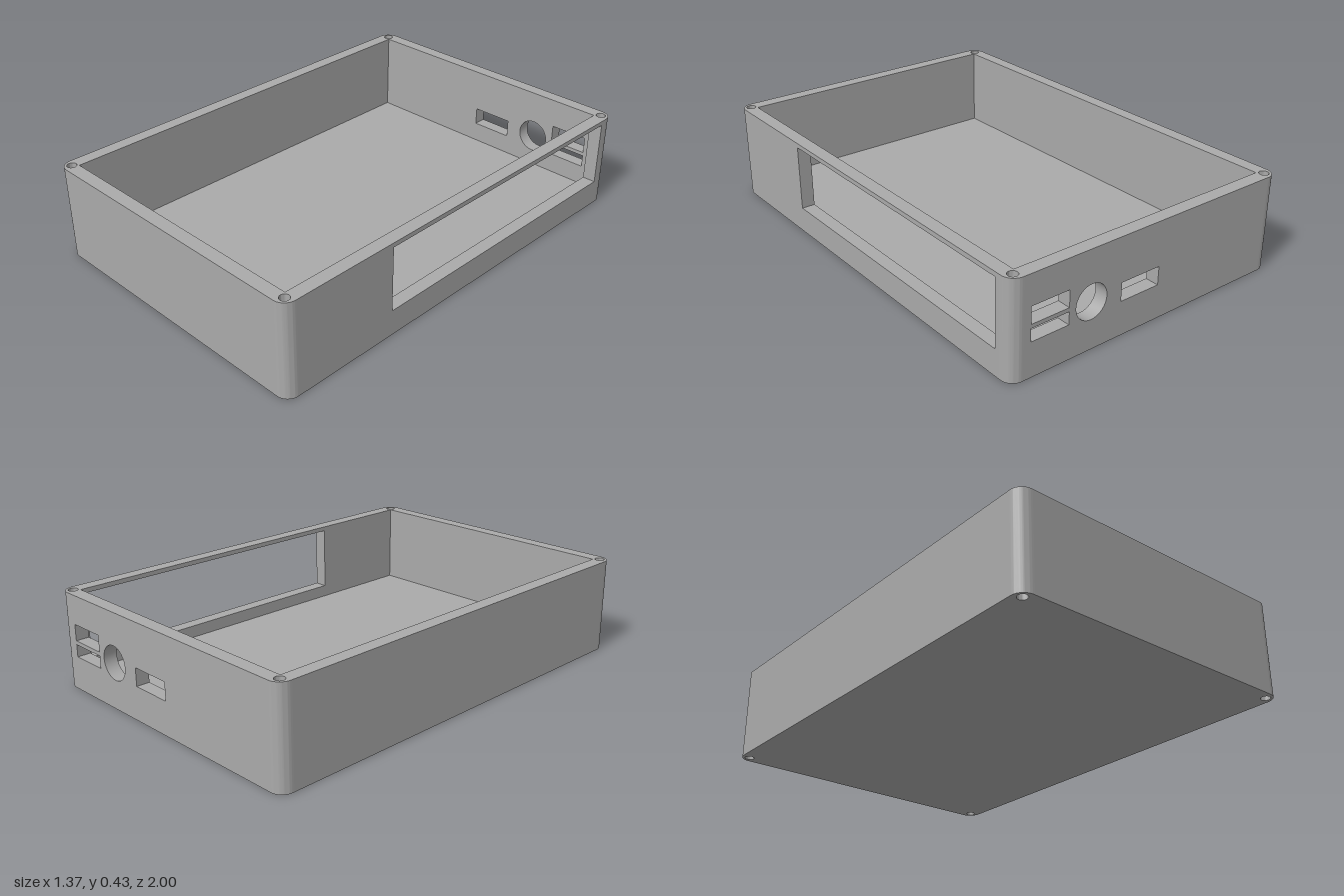
import * as THREE from 'three';
import { toCreasedNormals } from 'three/addons/utils/BufferGeometryUtils.js';

const HX = 0.687, HZ = 1, H = 0.425; // half width, half depth, height
const T = 0.06;                      // wall and floor thickness
const R = 0.055;                     // outer corner radius
const IX = HX - T, IZ = HZ - T;      // inner half sizes

function rect(target, x0, x1, y0, y1) {
  target.moveTo(x0, y0);
  target.lineTo(x1, y0);
  target.lineTo(x1, y1);
  target.lineTo(x0, y1);
  target.closePath();
  return target;
}

function circle(x, y, r) {
  return new THREE.Path().absarc(x, y, r, 0, Math.PI * 2, true);
}

function extrude(shape, depth) {
  const g = new THREE.ExtrudeGeometry(shape, { depth, bevelEnabled: false, curveSegments: 16 });
  return toCreasedNormals(g, 0.6);
}

// Upright wall panel with optional openings, centred on its own width
function panel(half, openings = []) {
  const shape = rect(new THREE.Shape(), -half, half, 0, H);
  shape.holes.push(...openings);
  return extrude(shape, T);
}

export function createModel() {
  const group = new THREE.Group();
  const grey = new THREE.MeshStandardMaterial({ color: 0xaaaaaa });
  grey.name = 'grey plastic';

  const add = (name, geometry, x = 0, y = 0, z = 0) => {
    const mesh = new THREE.Mesh(geometry, grey);
    mesh.name = name;
    mesh.position.set(x, y, z);
    group.add(mesh);
  };
  const opening = (x0, x1, y0, y1) => rect(new THREE.Path(), x0, x1, y0, y1);

  // Floor between the walls
  add('floor', new THREE.BoxGeometry(IX * 2, T, IZ * 2), 0, T / 2, 0);

  // Front wall, and back wall with its connector openings
  add('frontWall', panel(IX), 0, 0, IZ);
  add('backWall', panel(IX, [
    opening(0.42, 0.595, 0.15, 0.205),
    opening(0.42, 0.595, 0.222, 0.295),
    opening(-0.028, 0.164, 0.15, 0.23),
    circle(0.313, 0.205, 0.075),
  ]), 0, 0, -HZ);

  // Side walls; the left one has a long window
  add('leftWall', panel(IZ, [opening(-0.915, 0.455, 0.115, 0.405)]).rotateY(-Math.PI / 2), HX, 0, 0);
  add('rightWall', panel(IZ).rotateY(-Math.PI / 2), -IX, 0, 0);

  // Corner posts: one rounded outer corner and a screw hole through the full height
  const h = T / 2;
  const post = new THREE.Shape();
  post.moveTo(-h, -h);
  post.lineTo(h, -h);
  post.lineTo(h, h - R);
  post.absarc(h - R, h - R, R, 0, Math.PI / 2, false);
  post.lineTo(-h, h);
  post.closePath();
  post.holes.push(circle(-0.008, -0.008, 0.021));
  const postGeometry = extrude(post, H).rotateX(-Math.PI / 2);
  [[1, -1], [-1, -1], [-1, 1], [1, 1]].forEach(([sx, sz], i) => {
    add('cornerPost', postGeometry.clone().rotateY(i * Math.PI / 2), sx * (HX - h), 0, sz * (HZ - h));
  });

  return group;
}
